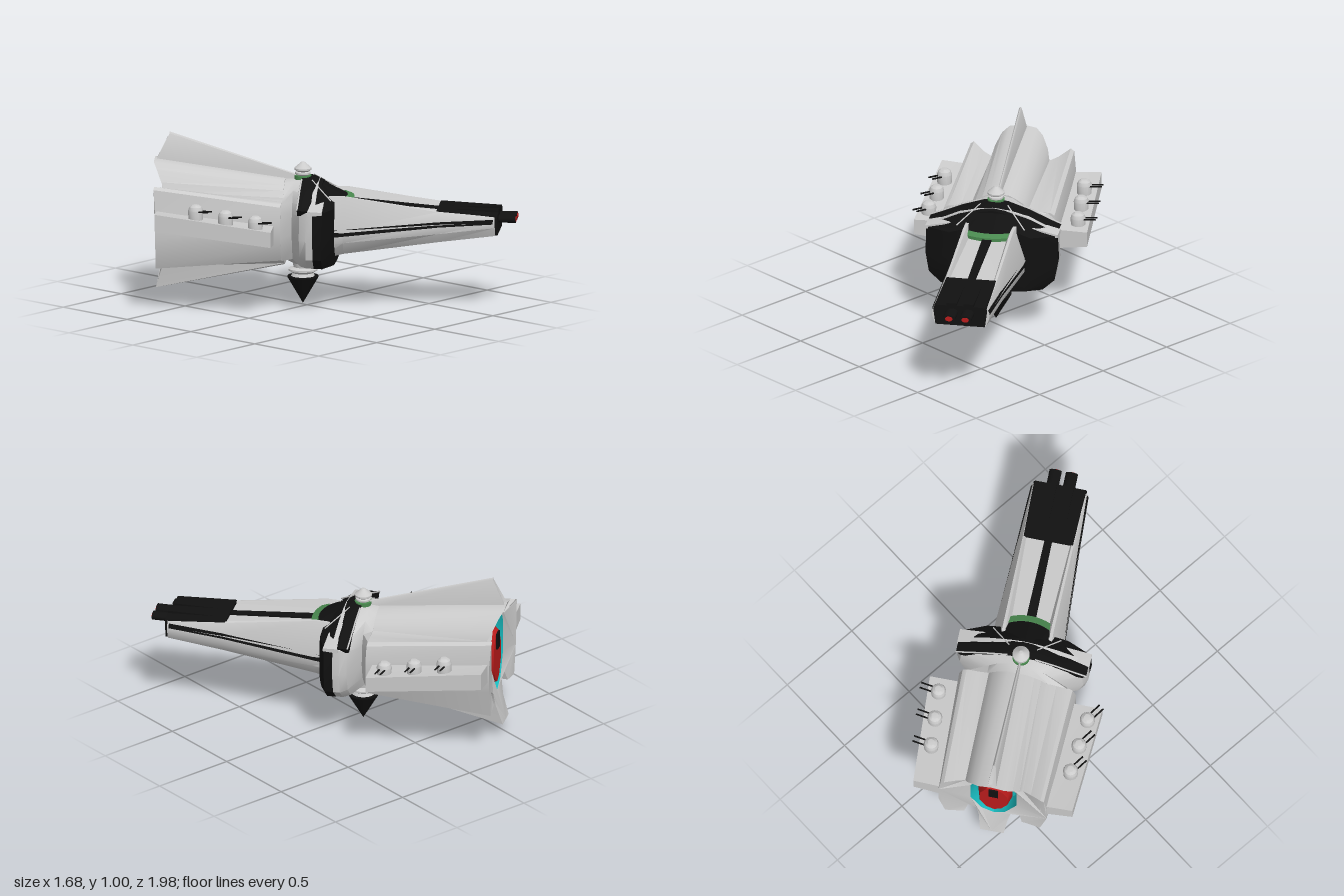
import * as THREE from 'three';
import { toCreasedNormals } from 'three/addons/utils/BufferGeometryUtils.js';

const mat = (color) => new THREE.MeshStandardMaterial({ color, side: THREE.DoubleSide });
const GREY = mat(0xcccccc), BLACK = mat(0x111111), GREEN = mat(0x4a8a50);
const CYAN = mat(0x18b8bc), RED = mat(0xbb1c1c);

// Mirror a half profile (top centre -> right -> bottom centre) into a closed loop
const mirror = (half) => half.concat(half.slice(1, -1).reverse().map(([x, ...r]) => [-x, ...r]));
// Give every [x, y] point a z, keeping a z of its own if it has one
const at = (z, pts) => pts.map((p) => [p[0], p[1], p[2] ?? z]);
const ring = (z, half) => mirror(at(z, half));

// Skin closed loops listed from back to front; each end may be capped, the back with a hole
function loft(loops, { front = true, back = true, hole = null } = {}) {
  const pos = [], n = loops[0].length;
  const tri = (a, b, c) => pos.push(...a, ...b, ...c);
  for (let i = 0; i < loops.length - 1; i++) for (let j = 0; j < n; j++) {
    const k = (j + 1) % n, A = loops[i], B = loops[i + 1];
    tri(A[j], B[j], B[k]);
    tri(A[j], B[k], A[k]);
  }
  const cap = (loop, isFront, inner) => {
    const outer = [...loop].reverse(), all = inner ? outer.concat(inner) : outer;
    const v = (l) => l.map((p) => new THREE.Vector2(p[0], p[1]));
    for (const [a, b, c] of THREE.ShapeUtils.triangulateShape(v(outer), inner ? [v(inner)] : []))
      isFront ? tri(all[a], all[b], all[c]) : tri(all[a], all[c], all[b]);
  };
  if (front) cap(loops[loops.length - 1], true);
  if (back) cap(loops[0], false, hole);
  const g = new THREE.BufferGeometry();
  g.setAttribute('position', new THREE.Float32BufferAttribute(pos, 3));
  return toCreasedNormals(g, 0.6);
}

function add(parent, name, geo, material = GREY) {
  const m = new THREE.Mesh(geo, material);
  m.name = name;
  parent.add(m);
  return m;
}

// Straight round rod between two points
function rod(parent, name, a, b, r, material) {
  const path = new THREE.LineCurve3(new THREE.Vector3(...a), new THREE.Vector3(...b));
  return add(parent, name, new THREE.TubeGeometry(path, 1, r, 6, false), material);
}

const lathe = (pts, seg = 24, start = 0, len = Math.PI * 2) => toCreasedNormals(
  new THREE.LatheGeometry(pts.map((p) => new THREE.Vector2(...p)), seg, start, len), 0.5);

function buildRear(ship) {
  // Ridged rear hull with a domed back, flaring backwards, and a tall opening in its end
  const start = [[0, .74], [.06, .735], [.1, .715], [.14, .69], [.17, .655], [.23, .645], [.3, .645], [.325, .63],
    [.345, .56], [.345, .42], [.29, .31], [.18, .3], [.14, .29], [.1, .27], [.08, .25], [.06, .24], [0, .24]];
  const end = [[0, .85, -.86], [.08, .835, -.86], [.12, .8, -.84], [.155, .73, -.81], [.17, .67, -.78],
    [.22, .69, -.8], [.285, .73, -.84], [.305, .715, -.84], [.32, .57, -.83], [.32, .42, -.83], [.28, .245, -.83],
    [.17, .26, -.82], [.15, .33, -.8], [.1, .3, -.8], [.085, .22, -.81], [.07, .09, -.85], [0, .09, -.85]];
  const opening = mirror([[0, .825], [.07, .8], [.135, .66], [.135, .46], [.07, .32], [0, .28]]);
  const shrink = (s, z, drop = 0) => opening.map(([x, y]) => [x * s, .56 - drop + (y - .56) * s, z]);
  add(ship, 'rearHull', loft([mirror(end), ring(-.1, start)], { hole: shrink(1, -.8) }));
  add(ship, 'hangarRecess', loft([shrink(1, -.8), shrink(.88, -.74)]  , { back: false }), CYAN);
  add(ship, 'hangarDoor', loft([shrink(.6, -.8, .06), shrink(.74, -.74, .05)]), RED);
  add(ship, 'hangarHatch', new THREE.BoxGeometry(.055, .1, .02).translate(0, .6, -.8), BLACK);

  // Dorsal fin
  add(ship, 'dorsalFin', loft([
    mirror([[0, 1, -.775], [.008, .99, -.775], [.025, .84, -.85], [0, .82, -.85]]),
    ring(-.04, [[0, .765], [.005, .76], [.01, .72], [0, .71]]),
  ]));

  for (const s of [1, -1]) {
    const side = new THREE.Group();
    side.name = s > 0 ? 'leftWing' : 'rightWing';
    ship.add(side);
    // Stub wing
    add(side, 'wingSlab', loft([
      at(-.82, [[.28, .59], [.47, .605], [.47, .505], [.28, .47]]),
      at(-.14, [[.3, .525], [.51, .52], [.51, .43], [.3, .405]]),
    ])).scale.x = s;
    // Three domed twin-gun turrets
    for (let i = 0; i < 3; i++) {
      const gun = new THREE.Group();
      gun.name = 'gunTurret';
      gun.position.set(s * (.44 - .014 * i), .525 + .027 * i, -.235 - .175 * i);
      gun.rotation.y = s > 0 ? 1.46 : -.64;
      side.add(gun);
      add(gun, 'gunDome', lathe([[.042, -.01], [.044, .045], [.036, .065], [.02, .077], [0, .08]], 16));
      for (const x of [-.016, .016]) rod(gun, 'gunBarrel', [x, .04, .03], [x, .05, .11], .005, BLACK);
    }
  }
}

function buildBody(ship) {
  // Narrow waist swelling into the round collar behind the front shell
  const hullEnd = [[0, .74], [.08, .72], [.18, .655], [.29, .64], [.335, .6], [.345, .45], [.33, .38], [.26, .3], [0, .25]];
  const waist = [[0, .74], [.06, .73], [.13, .69], [.18, .63], [.21, .57], [.22, .45], [.2, .36], [.15, .29], [0, .25]];
  const bulge = [[0, .745], [.08, .735], [.2, .69], [.3, .64], [.355, .59], [.365, .45], [.335, .34], [.26, .27], [0, .25]];
  const mid = [[0, .74], [.08, .73], [.2, .695], [.32, .64], [.38, .61], [.388, .45], [.365, .33], [.29, .265], [0, .25]];
  add(ship, 'bodyCollar', loft([[-.1, hullEnd], [-.045, waist], [.01, bulge], [.05, mid], [.1, mid]].map(([z, p]) => ring(z, p))));

  // Dark front shell and roof panel
  const fore = [[0, .7], [.08, .7], [.2, .665], [.3, .63], [.385, .61], [.39, .45], [.37, .33], [.3, .265], [0, .26]];
  const face = [[0, .65], [.08, .645], [.12, .64], [.18, .63], [.24, .61], [.25, .45], [.24, .34], [.2, .27], [0, .26]];
  add(ship, 'bodyFront', loft([ring(.09, mid), ring(.14, fore), ring(.2, face)]), BLACK);
  const roof = [[0, .755], [.08, .745], [.2, .705], [.32, .652], [.385, .625], [.36, .59], [0, .59]];
  add(ship, 'roofPanel', loft([ring(0, roof), ring(.06, roof), ring(.12, roof.map(([x, y]) => [x * .8, y - .025]))]), BLACK);

  for (const s of [1, -1]) {
    // Pale shoulder caps and roof trim
    add(ship, 'shoulderCap', loft([
      at(.06, [[.3, .65], [.39, .622], [.39, .595], [.3, .595]]),
      at(.145, [[.24, .65], [.39, .618], [.39, .6], [.24, .6]]),
    ])).scale.x = s;
    const trim = [[.385, .628, 0], [.32, .654, 0], [.2, .707, 0], [.08, .747, 0]];
    for (let i = 0; i < 3; i++) rod(ship, 'roofTrim', ...[trim[i], trim[i + 1]].map(([x, y, z]) => [s * x, y, z]), .005, GREY);
    rod(ship, 'roofTrim', [s * .08, .745, .06], [s * .2, .65, .18], .004, GREY);
  }

  // Sloped bridge roof with a green band at its foot
  add(ship, 'bridgeRoof', lathe([[.27, .62], [.265, .64], [.04, .758]], 12, -.62, 1.24), BLACK);
  add(ship, 'bridgeBand', lathe([[.255, .63], [.262, .648], [.3, .634], [.3, .61]], 12, -.48, .96), GREEN);

  // Top beacon and pointed lower spire
  add(ship, 'beaconRing', lathe([[.05, .735], [.05, .758], [0, .76]]), GREEN);
  add(ship, 'beacon', lathe([[.03, .755], [.045, .765], [.045, .775], [.035, .78], [.05, .79], [.05, .8], [.01, .835], [0, .836]]));
  add(ship, 'spireCollar', lathe([[.12, .275], [.06, .24], [.055, .215], [.085, .205], [.085, .195], [.06, .18], [.07, .16], [0, .16]]));
  add(ship, 'spire', lathe([[0, .162], [.09, .162], [.09, .155], [0, 0]]), BLACK);
}

function buildNeck(ship) {
  // Tapering forward neck with raised upper lips
  const base = [[0, .62], [.11, .62], [.13, .66], [.15, .66], [.212, .46], [.205, .38], [.14, .285], [0, .285]];
  const lip = [[0, .618], [.11, .618], [.13, .665], [.148, .665], [.209, .47], [.202, .4], [.14, .325], [0, .325]];
  const fore = [[0, .575], [.13, .575], [.138, .59], [.15, .585], [.182, .515], [.178, .46], [.14, .405], [0, .405]];
  const tip = [[0, .565], [.14, .565], [.148, .565], [.156, .56], [.169, .53], [.169, .5], [.15, .45], [0, .45]];
  add(ship, 'neck', loft([[.1, base], [.25, lip], [.8, fore], [1.13, tip]].map(([z, p]) => ring(z, p))));
  add(ship, 'neckTopStripe', loft([
    ring(.26, [[0, .628], [.028, .628], [.028, .61], [0, .61]]),
    ring(.8, [[0, .585], [.022, .585], [.022, .57], [0, .57]]),
  ]), BLACK);

  // Black nose cover and end plate
  add(ship, 'noseCover', loft([
    ring(.79, [[0, .592], [.145, .592], [.15, .565], [.1, .45], [0, .45]]),
    ring(1.145, [[0, .575], [.15, .572], [.158, .55], [.145, .452], [0, .452]]),
  ]), BLACK);

  for (const s of [1, -1]) {
    add(ship, 'neckSideStripe', loft([
      at(.2, [[.17, .475], [.208, .475], [.213, .435], [.17, .435]]),
      at(.8, [[.15, .53], [.179, .53], [.184, .5], [.15, .5]]),
      at(1.12, [[.14, .548], [.167, .548], [.171, .522], [.14, .522]]),
    ]), BLACK).scale.x = s;
    // Flattened twin nose cannons with red muzzles
    const cannon = (name, r, z0, z1, m) => add(ship, name, new THREE.CylinderGeometry(r, r, z1 - z0, 20)
      .rotateX(Math.PI / 2).scale(1, .65, 1).translate(s * .048, .533, (z0 + z1) / 2), m);
    cannon('noseCannon', .036, 1.1, 1.243, BLACK);
    cannon('cannonMuzzle', .022, 1.2, 1.247, RED);
    add(ship, 'cannonHousing', new THREE.BoxGeometry(.06, .02, .35).translate(s * .05, .578, .97), BLACK);
  }
}

export function createModel() {
  const root = new THREE.Group(), ship = new THREE.Group();
  root.name = 'spaceship';
  ship.name = 'hull';
  buildRear(ship);
  buildBody(ship);
  buildNeck(ship);
  // The ship's long axis lies diagonally
  ship.rotation.y = Math.atan2(.6, .8);
  ship.position.set(.025, 0, -.055);
  root.add(ship);
  return root;
}
